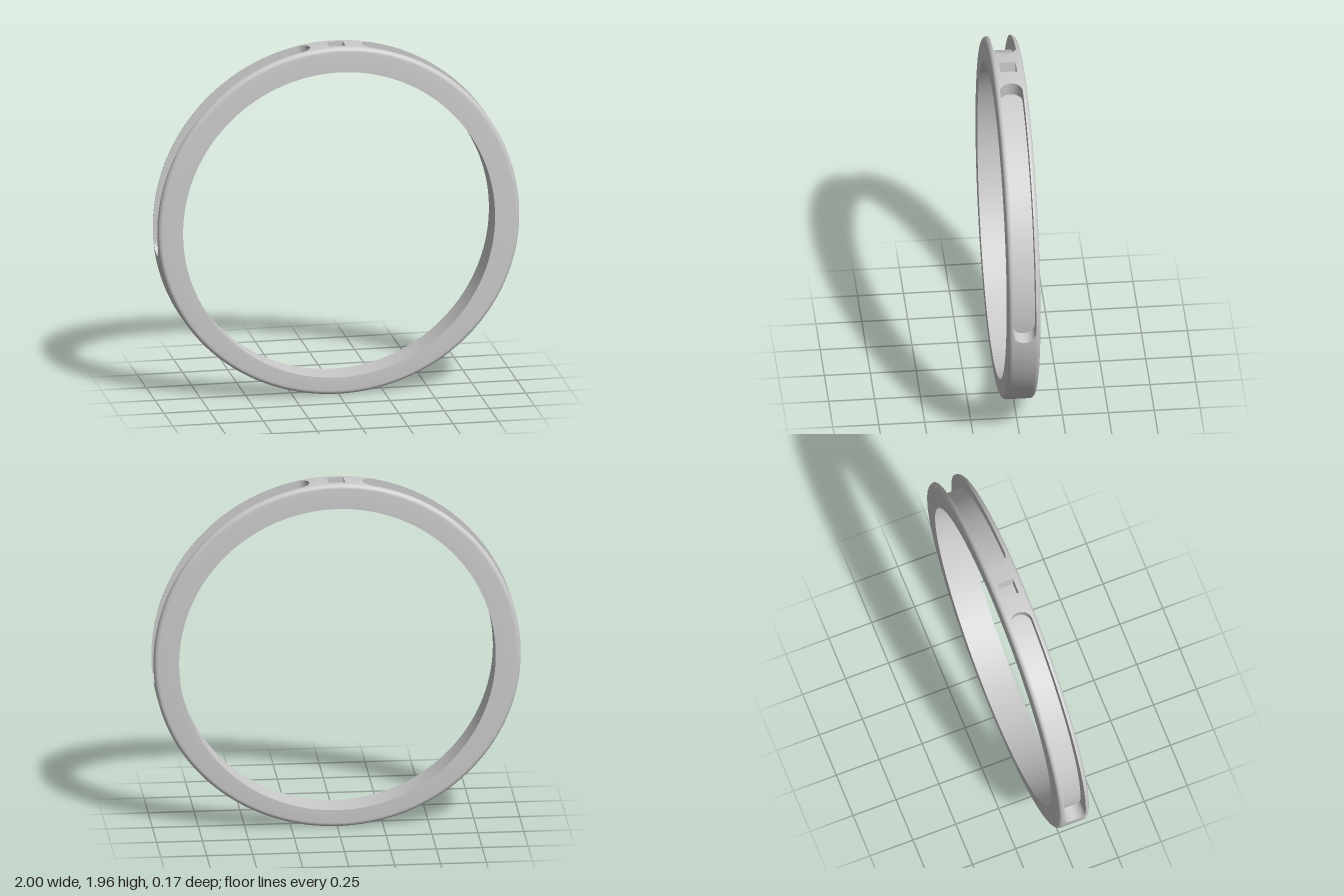
import * as THREE from 'three';
import { toCreasedNormals } from 'three/addons/utils/BufferGeometryUtils.js';

const CENTRE_Y = 0.96, INNER_R = 0.862, HALF_DEPTH = 0.087, FILLET = 0.025;
const CUT_DEPTH = 0.08;                  // depth of slots and square recess
const SLOT_HALF = 0.0615, SQUARE_HALF = 0.045;
const SLOT_START = -0.141, SLOT_END = 1.425; // slot ends, radians from +x
const BUILD_SCALE = 100;                 // build large so normals weld precisely

// outer radius, thinning gently toward the bottom
function outerRadius(theta) {
  const s = Math.min(0, Math.sin(theta));
  return 1 - 0.04 * s * s;
}

// stations around the ring: [angle, half-width of the cut at that angle]
function makeStations() {
  const half = [];
  const run = (from, to, width) => {
    const n = Math.max(1, Math.ceil((to - from) / 0.026));
    for (let i = 0; i <= n; i++) half.push([from + (to - from) * i / n, width]);
  };
  const CAP = 12;
  run(-Math.PI / 2, SLOT_START, 0);
  for (let i = 1; i < CAP; i++) {        // rounded lower end of the slot
    const a = i / CAP * Math.PI / 2;
    half.push([SLOT_START + SLOT_HALF * (1 - Math.cos(a)), SLOT_HALF * Math.sin(a)]);
  }
  run(SLOT_START + SLOT_HALF, SLOT_END - SLOT_HALF, SLOT_HALF);
  for (let i = CAP - 1; i > 0; i--) {    // rounded upper end of the slot
    const a = i / CAP * Math.PI / 2;
    half.push([SLOT_END - SLOT_HALF * (1 - Math.cos(a)), SLOT_HALF * Math.sin(a)]);
  }
  const edge = Math.PI / 2 - Math.asin(SQUARE_HALF);
  run(SLOT_END, edge, 0);
  run(edge, Math.PI / 2, SQUARE_HALF);   // square recess at the top
  const mirrored = half.slice(0, -1).reverse().map(([t, w]) => [Math.PI - t, w]);
  return half.concat(mirrored);
}

// closed cross-section [radius, z] with a cut of half-width w in the rim
function section(theta, w) {
  const ro = outerRadius(theta), floor = ro - CUT_DEPTH;
  const back = [[INNER_R, -HALF_DEPTH]];
  for (let i = 0; i <= 6; i++) {
    const a = i / 6 * Math.PI / 2;
    back.push([ro - FILLET + FILLET * Math.sin(a), -HALF_DEPTH + FILLET - FILLET * Math.cos(a)]);
  }
  back.push([ro, -w], [floor, -w]);
  const front = back.slice().reverse().map(([r, z]) => [r, -z]);
  return [...back, ...front, back[0]];
}

function ringGeometry() {
  const loops = makeStations().map(([t, w]) => section(t, w).map(([r, z]) =>
    new THREE.Vector3(r * Math.cos(t), r * Math.sin(t), z).multiplyScalar(BUILD_SCALE)));
  const positions = [];
  const addTriangle = (a, b, c) => {     // skips collapsed triangles
    if (new THREE.Triangle(a, b, c).getArea() < 1e-5) return;
    for (const p of [a, b, c]) positions.push(p.x, p.y, p.z);
  };
  for (let i = 0; i < loops.length - 1; i++) {
    const p = loops[i], q = loops[i + 1];
    for (let j = 0; j < p.length - 1; j++) {
      addTriangle(p[j], q[j], q[j + 1]);
      addTriangle(p[j], q[j + 1], p[j + 1]);
    }
  }
  const geometry = new THREE.BufferGeometry();
  geometry.setAttribute('position', new THREE.Float32BufferAttribute(positions, 3));
  const creased = toCreasedNormals(geometry, Math.PI / 6);
  creased.scale(1 / BUILD_SCALE, 1 / BUILD_SCALE, 1 / BUILD_SCALE);
  return creased;
}

export function createModel() {
  const group = new THREE.Group();
  group.name = 'slottedRing';
  const ring = new THREE.Mesh(ringGeometry(), new THREE.MeshStandardMaterial({ color: 0xcccccc }));
  ring.name = 'ringBand';
  ring.position.y = CENTRE_Y;
  group.add(ring);
  return group;
}
